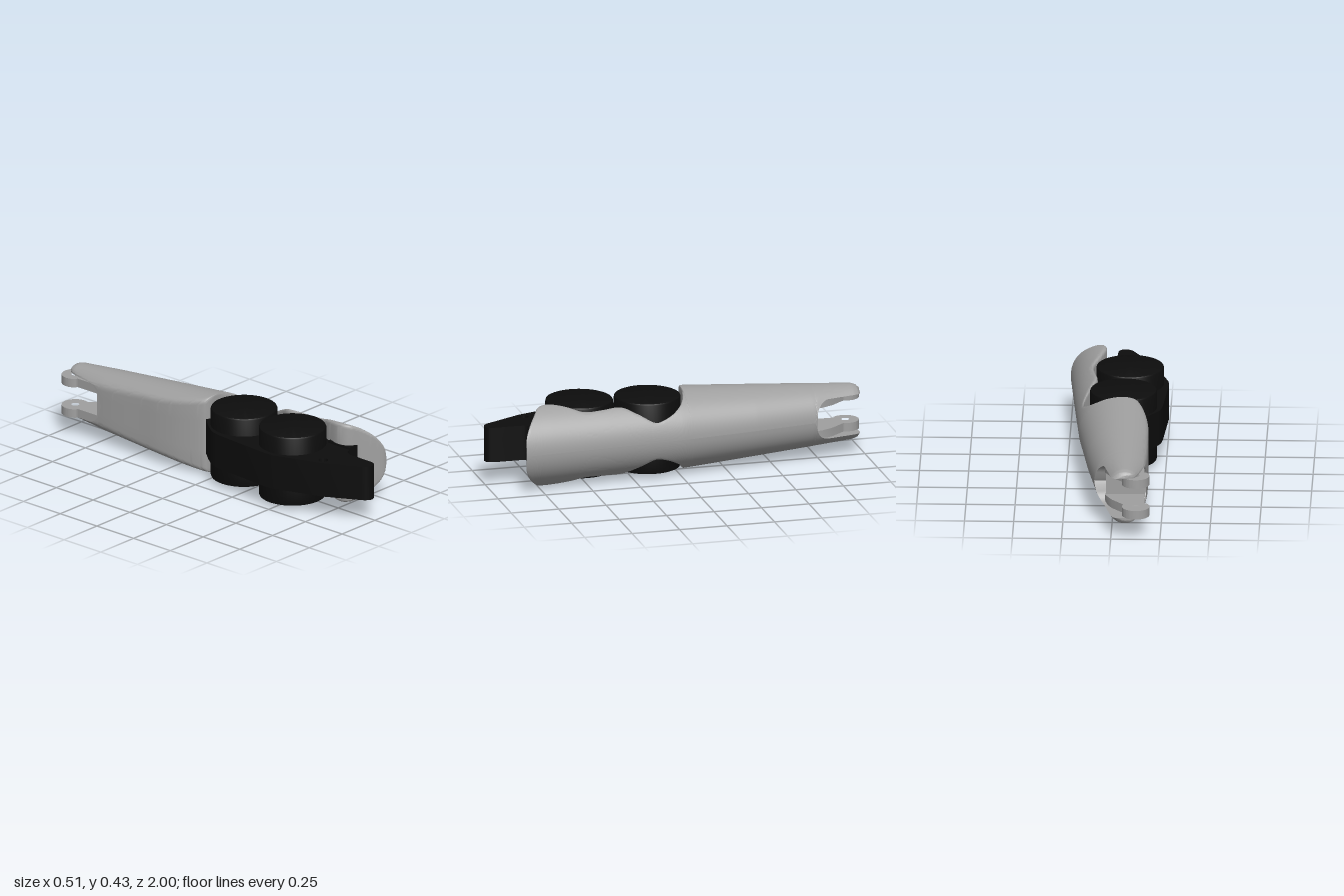
import * as THREE from 'three';
import { toCreasedNormals } from 'three/addons/utils/BufferGeometryUtils.js';

const MID = 0.2165; // height of the horizontal symmetry plane
const V = (x, y) => new THREE.Vector2(x, y);

// Piecewise-linear lookup over [z, value] pairs
function lookup(table, z) {
  let i = 0;
  while (i < table.length - 2 && z > table[i + 1][0]) i++;
  const [z0, a] = table[i], [z1, b] = table[i + 1];
  return a + (b - a) * THREE.MathUtils.clamp((z - z0) / (z1 - z0), 0, 1);
}

// Elliptical section of the handle: outer edge, centre, half height
const outer = [[-0.98, 0.025], [-0.725, 0.09], [-0.4, 0.14], [0, 0.19], [0.4, 0.222], [0.86, 0.256]];
const centre = [[-0.98, -0.07], [0, -0.04], [0.82, 0]];
const height = [[-0.982, 0.118], [-0.97, 0.137], [-0.945, 0.146], [-0.04, 0.21], [0.7, 0.229], [0.86, 0.23]];

// Inner edge of the handle seen from above: straight back, then finger waves
const innerEdge = new THREE.SplineCurve([
  V(-0.05, -0.982), V(-0.09, -0.977), V(-0.127, -0.95), V(-0.163, -0.8), V(-0.175, -0.66),
  V(-0.175, -0.45), V(-0.173, -0.31), V(-0.158, -0.185), V(-0.125, -0.07), V(-0.09, -0.043),
  V(0, -0.035), V(0.08, -0.012), V(0.13, 0.035), V(0.16, 0.1), V(0.168, 0.16),
  V(0.138, 0.24), V(0.104, 0.32), V(0.118, 0.42), V(0.126, 0.52), V(0.088, 0.61),
  V(0.066, 0.69), V(0.085, 0.745), V(0.14, 0.782), V(0.225, 0.842), V(0.252, 0.85),
]);

// Half height of the rounded recess cut into the back end
function recess(z) {
  if (z > -0.72) return 0;
  const t = Math.max(0, (z + 0.8) / 0.08);
  return 0.105 * Math.sqrt(1 - t * t);
}

// Upper half of one cross-section, counter-clockwise
function halfSection(L, z) {
  const c = lookup(centre, z), a = lookup(outer, z) - c, H = lookup(height, z), r = recess(z);
  const p0 = Math.asin(Math.min(1, r / H));
  const p1 = Math.max(p0, Math.acos(THREE.MathUtils.clamp((L - c) / a, -1, 1)));
  const h = H * Math.sin(p1);
  const pT = p1 - Math.min(0.11, (p1 - p0) * 0.3);
  const f = Math.min(0.025, Math.max(0, h - r) * 0.4);
  const pts = [];
  for (let i = 0; i <= 20; i++) {
    const p = p0 + (pT - p0) * i / 20;
    pts.push(V(c + a * Math.cos(p), H * Math.sin(p)));
  }
  const fillet = new THREE.QuadraticBezierCurve(pts[20].clone(), V(L, h), V(L, h - f));
  pts.push(...fillet.getPoints(5).slice(1));
  pts.push(V(L, (h - f + r) / 2), V(L, r));
  return pts;
}

// Loft of half sections; side = 1 for the upper half, -1 for the lower
function handleHalf(side) {
  const stations = innerEdge.getSpacedPoints(240);
  const pos = [], idx = [];
  const tri = (a, b, c) => (side > 0 ? idx.push(a, b, c) : idx.push(a, c, b));
  let n = 0;
  stations.forEach((s) => {
    const pts = halfSection(s.x, s.y);
    n = pts.length;
    pts.forEach((p) => pos.push(p.x, MID + side * p.y, s.y));
  });
  const last = (stations.length - 1) * n;
  for (let s = 0; s < stations.length - 1; s++) {
    for (let k = 0; k < n; k++) {
      const a = s * n + k, b = s * n + (k + 1) % n;
      tri(a, b, a + n);
      tri(b, b + n, a + n);
    }
  }
  for (let k = 1; k < n - 1; k++) {
    tri(0, k + 1, k);
    tri(last, last + k, last + k + 1);
  }
  const g = new THREE.BufferGeometry();
  g.setAttribute('position', new THREE.Float32BufferAttribute(pos, 3));
  g.setIndex(idx);
  return toCreasedNormals(g, 0.7);
}

// Plate with an outline in (x, -z), standing from y0 to y1
function plate(shape, y0, y1, bevel = 0) {
  const g = new THREE.ExtrudeGeometry(shape, {
    depth: y1 - y0 - 2 * bevel, curveSegments: 20, bevelEnabled: bevel > 0,
    bevelSize: bevel, bevelOffset: -bevel, bevelThickness: bevel, bevelSegments: 2,
  });
  g.rotateX(-Math.PI / 2);
  g.translate(0, y0 + bevel, 0);
  return toCreasedNormals(g, 0.6);
}

function hole(x, z, r) {
  const p = new THREE.Path();
  p.absarc(x, -z, r, 0, Math.PI * 2, true);
  return p;
}

export function createModel() {
  const model = new THREE.Group();
  const grey = new THREE.MeshStandardMaterial({ color: 0xa0a0a0 });
  grey.name = 'satin grey';
  const black = new THREE.MeshStandardMaterial({ color: 0x0d0d0d });
  black.name = 'black';
  const add = (name, geometry, material) => {
    const m = new THREE.Mesh(geometry, material);
    m.name = name;
    model.add(m);
    return m;
  };

  // Handle shell
  add('handleUpperHalf', handleHalf(1), grey);
  add('handleLowerHalf', handleHalf(-1), grey);

  // Fork at the back: web and two pierced ears
  const web = add('forkWeb', new THREE.BoxGeometry(0.2, 0.21, 0.035), grey);
  web.position.set(-0.068, MID, -0.7275);
  const ear = new THREE.Shape();
  ear.moveTo(-0.165, 0.72);
  ear.lineTo(-0.165, 0.88);
  ear.absarc(-0.125, 0.93, 0.07, 3.9, -0.4, true);
  ear.lineTo(0.0, 0.83);
  ear.lineTo(0.035, 0.76);
  ear.lineTo(0.035, 0.72);
  ear.holes.push(hole(-0.125, -0.93, 0.02));
  add('upperEar', plate(ear, MID + 0.06, MID + 0.106), grey);
  add('lowerEar', plate(ear, MID - 0.106, MID - 0.06), grey);

  // Core plate with pointed nose and pin hole
  const core = new THREE.Shape();
  core.moveTo(0.1, 0.03);
  core.lineTo(-0.115, 0.05);
  core.splineThru([V(-0.135, 0.025), V(-0.18, -0.03), V(-0.222, -0.1), V(-0.235, -0.2)]);
  core.lineTo(-0.255, -0.48);
  core.lineTo(-0.25, -0.53);
  core.lineTo(-0.165, -0.78);
  core.lineTo(-0.08, -0.94);
  core.splineThru([V(-0.055, -0.982), V(-0.025, -1), V(0.005, -0.99), V(0.017, -0.96)]);
  core.lineTo(0.018, -0.83);
  core.quadraticCurveTo(0.02, -0.772, 0.07, -0.77);
  core.lineTo(0.1, -0.77);
  core.lineTo(0.128, -0.5);
  core.lineTo(0.13, -0.1);
  core.holes.push(hole(-0.127, 0.762, 0.025));
  add('corePlate', plate(core, 0.125, 0.308), black);

  // Block that ties the core to the handle
  const block = add('coreBlock', new THREE.BoxGeometry(0.065, 0.203, 0.15), black);
  block.position.set(0.0965, MID + 0.001, 0.697);

  // Two round drums through the core
  [['rearDrum', -0.033, 0.138, 0.17], ['frontDrum', -0.057, 0.49, 0.172]].forEach(([name, x, z, r]) => {
    const b = 0.01, y = 0.188;
    const profile = [V(0, -y), V(r - b, -y), V(r - b * 0.3, -y + b * 0.3), V(r, -y + b),
      V(r, y - b), V(r - b * 0.3, y - b * 0.3), V(r - b, y), V(0, y)];
    const drum = add(name, toCreasedNormals(new THREE.LatheGeometry(profile, 56), 0.6), black);
    drum.position.set(x, MID, z);
  });

  return model;
}
